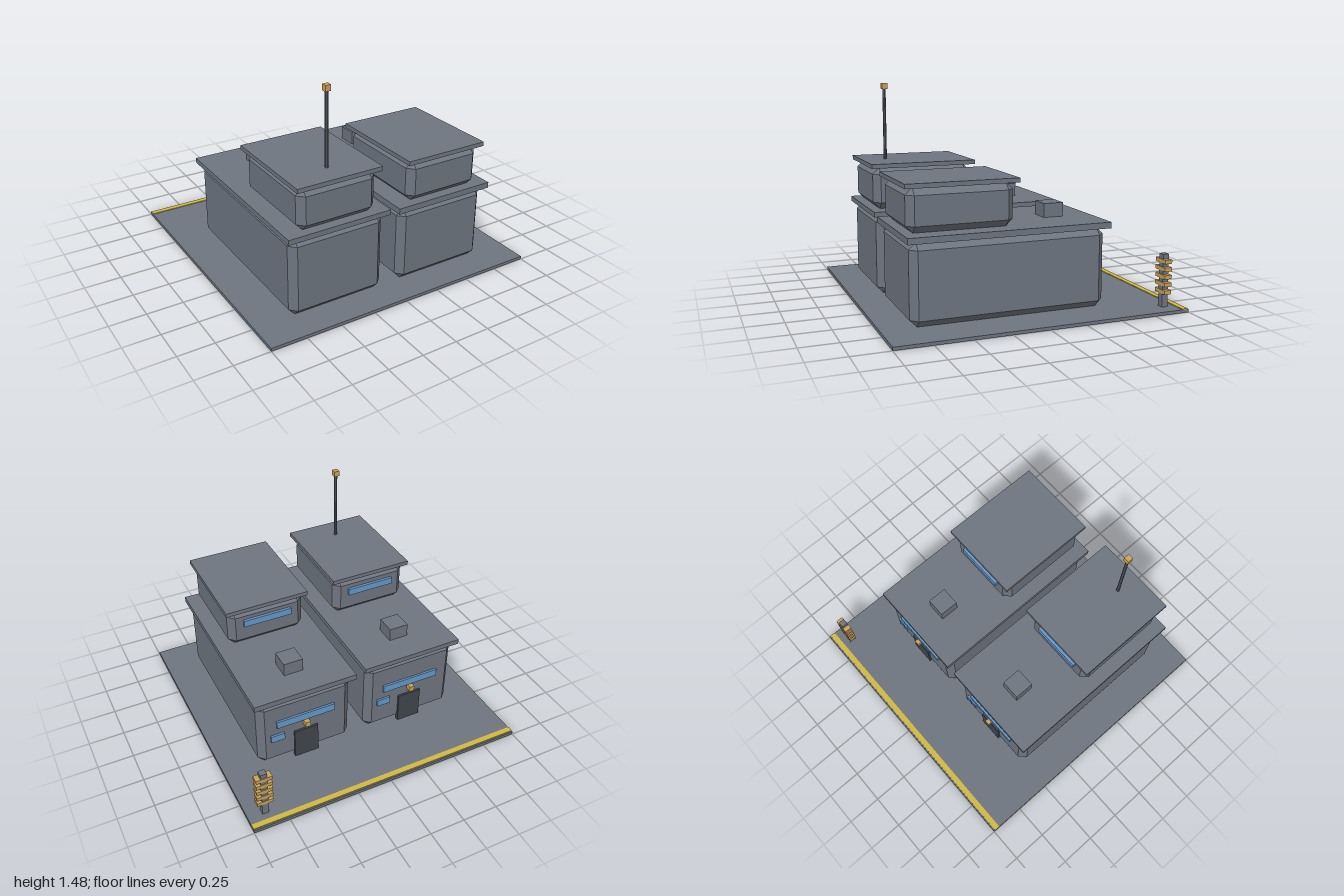
import * as THREE from 'three';
import { ConvexGeometry } from 'three/addons/geometries/ConvexGeometry.js';

const material = (name, color) => {
  const m = new THREE.MeshStandardMaterial({ color });
  m.name = name;
  return m;
};

export function createModel() {
  const concrete = material('concrete grey', 0x6e7580);
  const dark = material('door grey', 0x41454b);
  const steel = material('mast grey', 0x5c636c);
  const glass = material('window blue', 0x6698c8);
  const amber = material('lamp amber', 0xcba25a);
  const yellow = material('stripe yellow', 0xd0b942);

  const add = (parent, name, geometry, mat) => {
    const mesh = new THREE.Mesh(geometry, mat);
    mesh.name = name;
    parent.add(mesh);
    return mesh;
  };

  // Box given by its extents on each axis
  const box = (parent, name, mat, [x0, x1], [y0, y1], [z0, z1]) => {
    const mesh = add(parent, name, new THREE.BoxGeometry(x1 - x0, y1 - y0, z1 - z0), mat);
    mesh.position.set((x0 + x1) / 2, (y0 + y1) / 2, (z0 + z1) / 2);
    return mesh;
  };

  // Box with every edge cut at 45 degrees
  const chamferBox = (parent, name, mat, [x0, x1], [y0, y1], [z0, z1], c = 0.047) => {
    const half = [(x1 - x0) / 2, (y1 - y0) / 2, (z1 - z0) / 2];
    const points = [];
    for (const sx of [-1, 1]) for (const sy of [-1, 1]) for (const sz of [-1, 1]) {
      for (let axis = 0; axis < 3; axis++) {
        const p = half.map((h, i) => (i === axis ? h : h - c));
        points.push(new THREE.Vector3(sx * p[0], sy * p[1], sz * p[2]));
      }
    }
    const mesh = add(parent, name, new ConvexGeometry(points), mat);
    mesh.position.set((x0 + x1) / 2, (y0 + y1) / 2, (z0 + z1) / 2);
    return mesh;
  };

  const model = new THREE.Group();
  model.name = 'housingBlock';

  // Ground slab and painted edge stripe
  box(model, 'groundSlab', concrete, [-1, 1], [0, 0.022], [-1, 1]);
  box(model, 'edgeStripe', yellow, [-1, 1], [0.022, 0.028], [-0.99, -0.95]);

  // Two houses, each of two storeys with overhanging roof slabs
  const house = (name, cx, eaves, roofTop, upperEaves, upperTop, windowY) => {
    const g = new THREE.Group();
    g.name = name;
    g.position.x = cx;
    model.add(g);
    const span = (w, x = 0) => [x - w / 2, x + w / 2];

    chamferBox(g, 'lowerStorey', concrete, span(0.69), [0.022, eaves], [-0.51, 0.815]);
    box(g, 'lowerRoof', concrete, span(0.745), [eaves, roofTop], [-0.535, 0.84]);
    chamferBox(g, 'upperStorey', concrete, span(0.565), [roofTop, upperEaves], [0.107, 0.815]);
    box(g, 'upperRoof', concrete, span(0.61), [upperEaves, upperTop], [0.085, 0.835]);
    box(g, 'roofVent', concrete, span(0.14), [roofTop, roofTop + 0.095], [-0.33, -0.19]);

    // Entrance side
    box(g, 'door', dark, span(0.175), [0.022, 0.25], [-0.525, -0.497]);
    box(g, 'doorLamp', amber, span(0.037), [0.29, 0.33], [-0.553, -0.51]);
    box(g, 'longWindow', glass, span(0.43), [0.335, 0.39], [-0.525, -0.505]);
    box(g, 'smallWindow', glass, span(0.1, 0.21), [0.222, 0.275], [-0.525, -0.505]);
    box(g, 'upperWindow', glass, span(0.355), [windowY, windowY + 0.05], [0.087, 0.11]);
    return g;
  };
  const tall = house('tallHouse', -0.409, 0.577, 0.613, 0.903, 0.933, 0.773);
  house('lowHouse', 0.406, 0.556, 0.597, 0.882, 0.912, 0.757);

  // Mast with a beacon on the taller roof
  const mast = add(tall, 'mast', new THREE.CylinderGeometry(0.012, 0.012, 0.51, 8).toNonIndexed(), steel);
  mast.geometry.computeVertexNormals();
  mast.position.set(0, 1.185, 0.663);
  box(tall, 'beacon', amber, [-0.02, 0.02], [1.435, 1.475], [0.643, 0.683]);

  // Pylon with stacked bars at the yard corner
  box(model, 'pylonPost', concrete, [0.855, 0.9], [0.022, 0.38], [-0.9, -0.857]);
  for (let i = 0; i < 5; i++) {
    const y = 0.128 + i * 0.0515;
    box(model, 'pylonBar', amber, [0.82, 0.933], [y - 0.013, y + 0.013], [-0.905, -0.852]);
  }

  return model;
}
